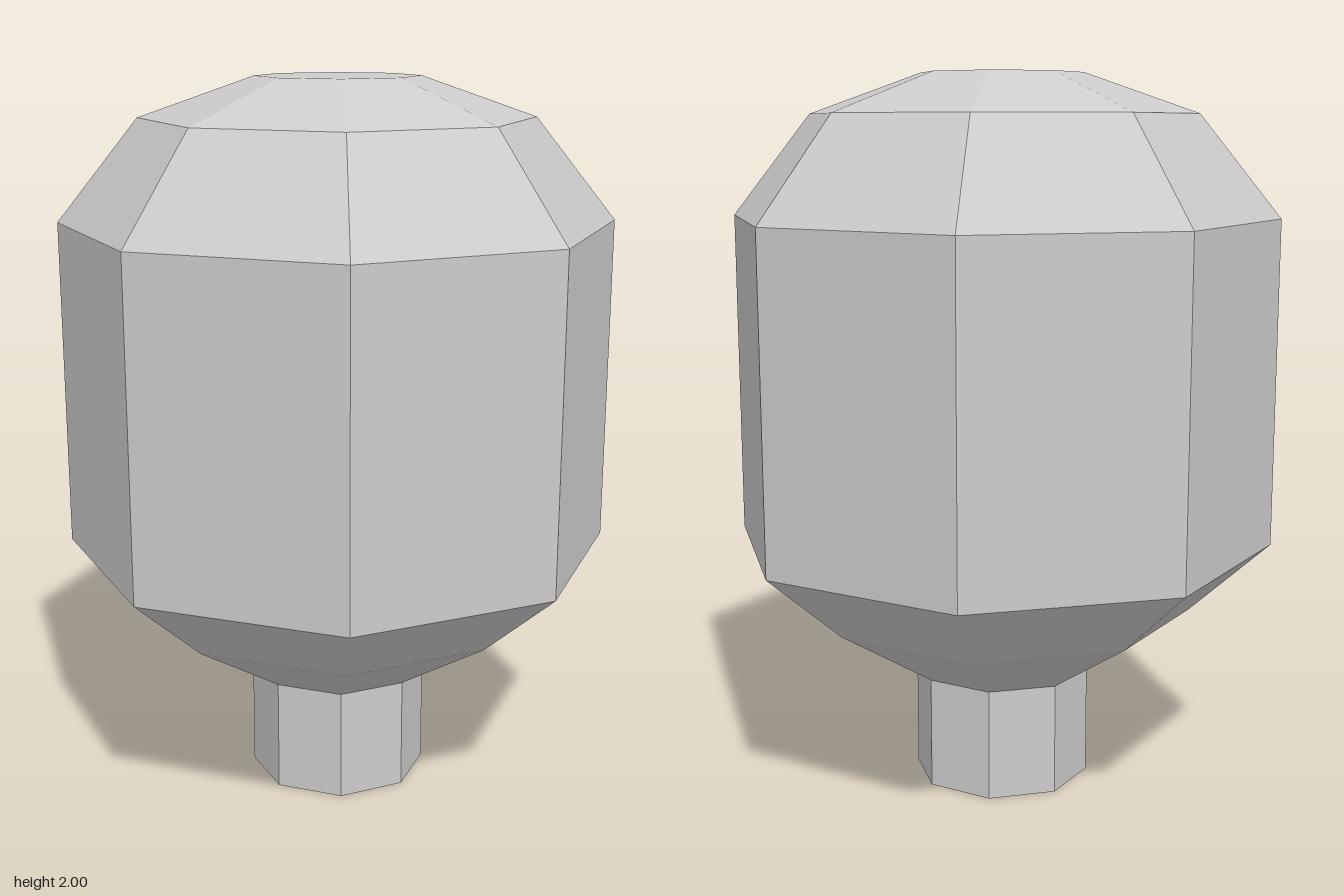
import * as THREE from 'three';

const SIDES = 8;

export function createModel() {
  const model = new THREE.Group();
  model.name = 'bulb';
  const grey = new THREE.MeshStandardMaterial({ color: 0xcccccc, flatShading: true });
  grey.name = 'light grey';

  // Eight-sided stem
  const stem = new THREE.Mesh(new THREE.CylinderGeometry(0.25, 0.25, 0.315, SIDES), grey);
  stem.name = 'stem';
  stem.position.y = 0.1575;
  model.add(stem);

  // Faceted body: flared underside, straight wall, domed and flat-topped crown
  const profile = [
    [0.25, 0.315], [0.54, 0.5], [0.765, 0.7],
    [0.765, 1.61], [0.54, 1.89], [0.225, 2], [0, 2],
  ].map(([r, y]) => new THREE.Vector2(r, y));
  const body = new THREE.Mesh(new THREE.LatheGeometry(profile, SIDES), grey);
  body.name = 'body';
  model.add(body);

  return model;
}
